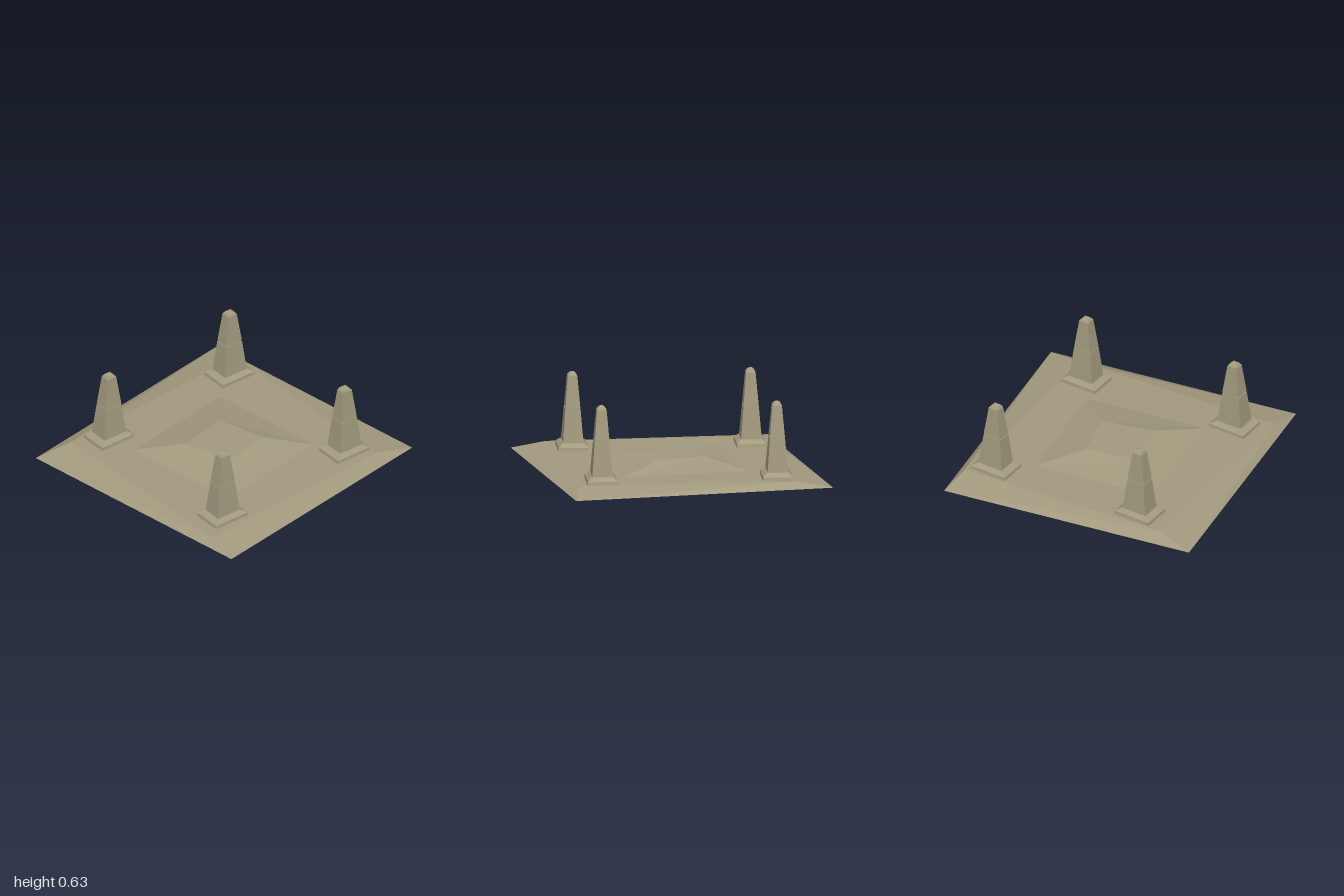
import * as THREE from 'three';

const stone = new THREE.MeshStandardMaterial({ color: 0xa39b7f });
stone.name = 'weathered stone';

// Rectangle corners, counter-clockwise seen from above
const rect = (hw, hd) => [[-hw, hd], [hw, hd], [hw, -hd], [-hw, -hd]];

// Closed, faceted solid through four-cornered rings: [height, corners]
function loft(name, rings) {
  const pos = [];
  const quad = (a, b, c, d) => pos.push(...a, ...b, ...c, ...a, ...c, ...d);
  const levels = rings.map(([y, pts]) => pts.map(([x, z]) => [x, y, z]));
  for (let r = 0; r < levels.length - 1; r++) {
    const lo = levels[r], hi = levels[r + 1];
    for (let i = 0; i < 4; i++) {
      const j = (i + 1) % 4;
      quad(lo[i], lo[j], hi[j], hi[i]);
    }
  }
  quad(...[...levels[0]].reverse());
  quad(...levels[levels.length - 1]);
  const geo = new THREE.BufferGeometry();
  geo.setAttribute('position', new THREE.Float32BufferAttribute(pos, 3));
  geo.computeVertexNormals();
  const mesh = new THREE.Mesh(geo, stone);
  mesh.name = name;
  return mesh;
}

function createObelisk() {
  const g = new THREE.Group();
  // Bevelled footing
  g.add(loft('footing', [
    [0.045, rect(0.116, 0.155)],
    [0.075, rect(0.112, 0.150)],
    [0.102, rect(0.082, 0.108)],
  ]));
  // Lower shaft
  g.add(loft('lowerShaft', [
    [0.09, rect(0.078, 0.103)],
    [0.352, rect(0.057, 0.073)],
  ]));
  // Recessed joint
  g.add(loft('joint', [
    [0.35, rect(0.052, 0.067)],
    [0.364, rect(0.051, 0.066)],
  ]));
  // Upper shaft and blunt tip
  g.add(loft('upperShaft', [
    [0.362, rect(0.056, 0.072)],
    [0.60, rect(0.036, 0.040)],
    [0.619, rect(0.024, 0.026)],
    [0.632, rect(0.006, 0.006)],
  ]));
  return g;
}

export function createModel() {
  const model = new THREE.Group();
  model.name = 'stoneCourt';

  // Square base rising to a slightly turned plateau
  model.add(loft('groundBase', [
    [0, rect(0.99, 1)],
    [0.05, [[-0.89, 0.71], [0.74, 0.94], [0.89, -0.71], [-0.74, -0.94]]],
  ]));

  // Low central mound with a turned top
  model.add(loft('centralMound', [
    [0.049, rect(0.48, 0.485)],
    [0.11, [[-0.18, 0.22], [0.21, 0.17], [0.18, -0.23], [-0.21, -0.18]]],
  ]));

  // Four obelisks around the mound
  const spots = {
    backRightObelisk: [-0.62, -0.74],
    frontRightObelisk: [-0.725, 0.48],
    backLeftObelisk: [0.69, -0.58],
    frontLeftObelisk: [0.60, 0.67],
  };
  for (const [name, [x, z]] of Object.entries(spots)) {
    const o = createObelisk();
    o.name = name;
    o.position.set(x, 0, z);
    o.rotation.y = -0.165;
    model.add(o);
  }
  return model;
}
